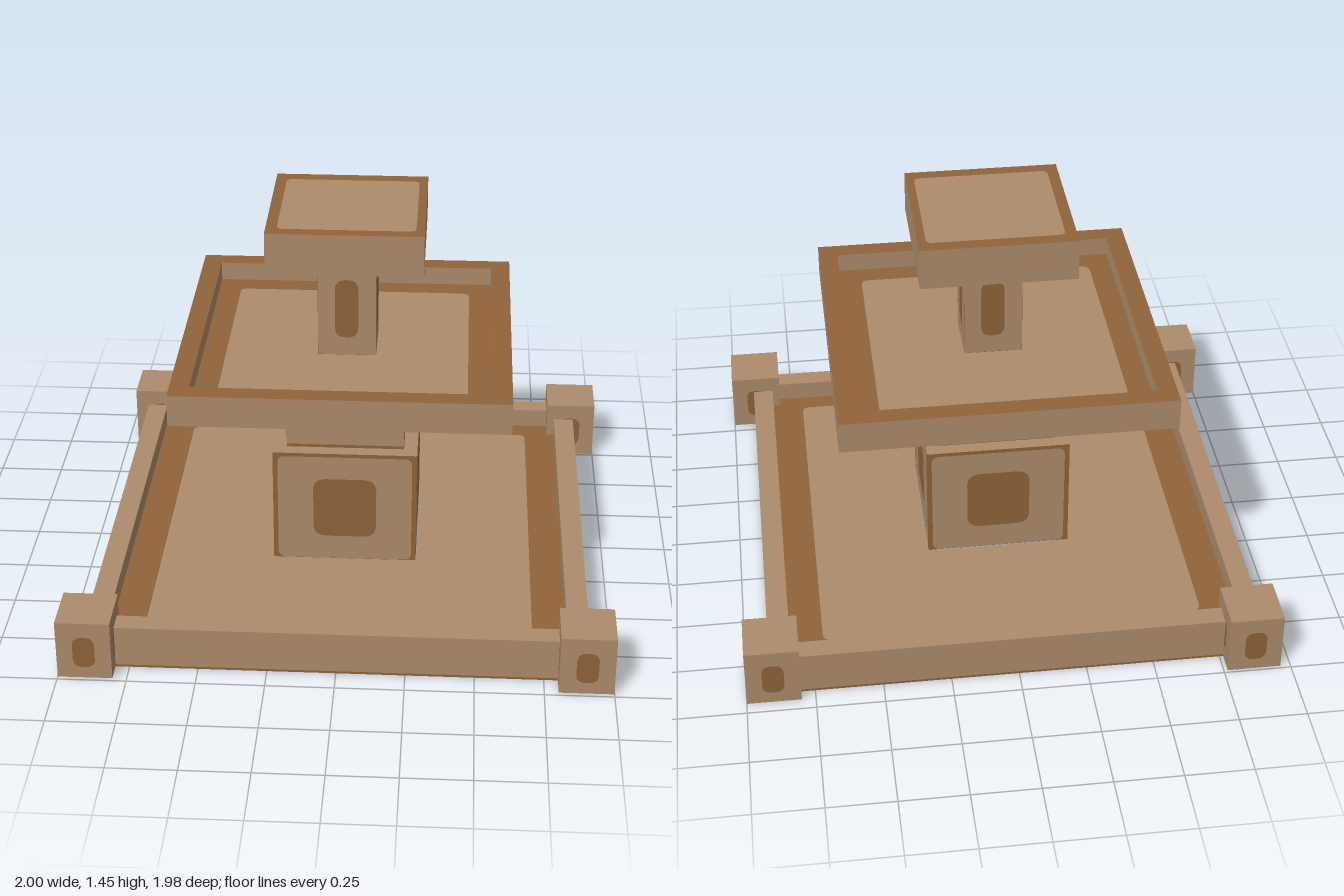
import * as THREE from 'three';

const tan = new THREE.MeshStandardMaterial({ name: 'lightStone', color: 0xad8c6c, side: THREE.DoubleSide });
const brown = new THREE.MeshStandardMaterial({ name: 'darkStone', color: 0x90643a, side: THREE.DoubleSide });

// Rectangle with optional rounded corners
function rect(Type, [x0, y0, x1, y1, r = 0]) {
  const s = new Type();
  if (!r) return s.setFromPoints([[x0, y0], [x1, y0], [x1, y1], [x0, y1], [x0, y0]].map(p => new THREE.Vector2(...p)));
  s.moveTo(x0 + r, y0).lineTo(x1 - r, y0).quadraticCurveTo(x1, y0, x1, y0 + r);
  s.lineTo(x1, y1 - r).quadraticCurveTo(x1, y1, x1 - r, y1);
  s.lineTo(x0 + r, y1).quadraticCurveTo(x0, y1, x0, y1 - r);
  s.lineTo(x0, y0 + r).quadraticCurveTo(x0, y0, x0 + r, y0);
  return s;
}

// Flat face made of nested coloured areas; a layer without material is a hole
function face(name, layers) {
  const g = new THREE.Group();
  g.name = name;
  layers.forEach(([box, mat], i) => {
    if (!mat) return;
    const shape = rect(THREE.Shape, box);
    if (layers[i + 1]) shape.holes.push(rect(THREE.Path, layers[i + 1][0]));
    const m = new THREE.Mesh(new THREE.ShapeGeometry(shape, 6), mat);
    m.name = name + 'Area';
    g.add(m);
  });
  return g;
}

// Horizontal face facing up, or down when flipped
function level(name, y, layers, down = false) {
  const f = face(name, layers);
  f.rotation.x = down ? Math.PI / 2 : -Math.PI / 2;
  f.position.y = y;
  return f;
}

// Four upright faces around the y axis
function walls(name, half, layers) {
  const g = new THREE.Group();
  g.name = name;
  for (let i = 0; i < 4; i++) {
    const side = new THREE.Group();
    const f = face(name + 'Side', layers);
    f.position.z = half;
    side.rotation.y = i * Math.PI / 2;
    side.add(f);
    g.add(side);
  }
  return g;
}

const sq = (h, r = 0) => [-h, -h, h, h, r];

export function createModel() {
  const model = new THREE.Group();
  model.name = 'tieredFountain';

  // Lower basin, open underneath
  const basin = new THREE.Group();
  basin.name = 'lowerBasin';
  basin.add(
    walls('basinOuterWall', 0.91, [[[-0.91, 0.012, 0.91, 0.17], tan]]),
    walls('basinFootTrim', 0.91, [[[-0.91, 0.003, 0.91, 0.012], brown]]),
    walls('basinInnerWall', 0.83, [[[-0.83, 0.095, 0.83, 0.17], tan]]),
    level('basinRim', 0.17, [[sq(0.91), tan], [sq(0.83)]]),
    level('basinFloor', 0.095, [[sq(0.91), brown], [[-0.708, -0.755, 0.708, 0.745, 0.03], tan], [sq(0.272)]]),
  );
  model.add(basin);

  // Corner posts, open underneath
  [[-0.9, 0.888], [0.9, 0.888], [0.9, -0.855], [-0.863, -0.892]].forEach(([x, z]) => {
    const post = new THREE.Group();
    post.name = 'cornerPost';
    post.add(
      walls('postWall', 0.099, [
        [[-0.099, 0.005, 0.099, 0.235], tan],
        [[-0.04, 0.05, 0.04, 0.175, 0.035], brown],
      ]),
      level('postTop', 0.235, [[sq(0.099), tan]]),
    );
    post.position.set(x, 0, z);
    model.add(post);
  });

  const tower = new THREE.Group();
  tower.name = 'tower';
  tower.position.set(-0.003, 0, 0.005);
  model.add(tower);

  // Hollow pedestal
  tower.add(
    walls('pedestalWall', 0.273, [
      [[-0.273, 0.095, 0.273, 0.555], brown],
      [[-0.255, 0.096, 0.255, 0.54, 0.03], tan],
      [[-0.12, 0.195, 0.12, 0.445, 0.05], brown],
    ]),
    level('pedestalTop', 0.555, [[sq(0.273), tan]]),
  );

  // Stepped neck
  tower.add(
    walls('neckTrim', 0.222, [
      [[-0.222, 0.555, 0.222, 0.76], brown],
      [[-0.221, 0.567, 0.221, 0.752], tan],
    ]),
    level('neckTop', 0.76, [[sq(0.222), tan]]),
    walls('upperNeck', 0.165, [[[-0.165, 0.76, 0.165, 0.845], tan]]),
  );

  // Upper basin
  const upper = new THREE.Group();
  upper.name = 'upperBasin';
  upper.add(
    walls('upperBasinOuterWall', 0.614, [[[-0.614, 0.845, 0.614, 0.965], tan]]),
    walls('upperBasinInnerWall', 0.541, [[[-0.541, 0.893, 0.541, 0.965], tan]]),
    level('upperBasinRim', 0.965, [[sq(0.614), brown], [sq(0.541)]]),
    level('upperBasinFloor', 0.893, [[sq(0.541), brown], [sq(0.455, 0.03), tan]]),
    level('upperBasinUnderside', 0.845, [[sq(0.614), brown], [sq(0.52, 0.03), tan]], true),
  );
  tower.add(upper);

  // Column
  tower.add(walls('column', 0.109, [
    [[-0.109, 0.893, 0.109, 1.3], brown],
    [[-0.108, 0.894, 0.108, 1.287], tan],
    [[-0.045, 0.965, 0.042, 1.2, 0.04], brown],
  ]));

  // Cap slab
  const cap = new THREE.Group();
  cap.name = 'cap';
  cap.add(
    walls('capWall', 0.287, [[[-0.287, 1.3, 0.287, 1.457], tan]]),
    level('capTop', 1.457, [[sq(0.287), brown], [[-0.246, -0.24, 0.256, 0.235, 0.025], tan]]),
    level('capUnderside', 1.3, [[sq(0.287), brown], [sq(0.245, 0.025), tan]], true),
  );
  tower.add(cap);

  return model;
}
